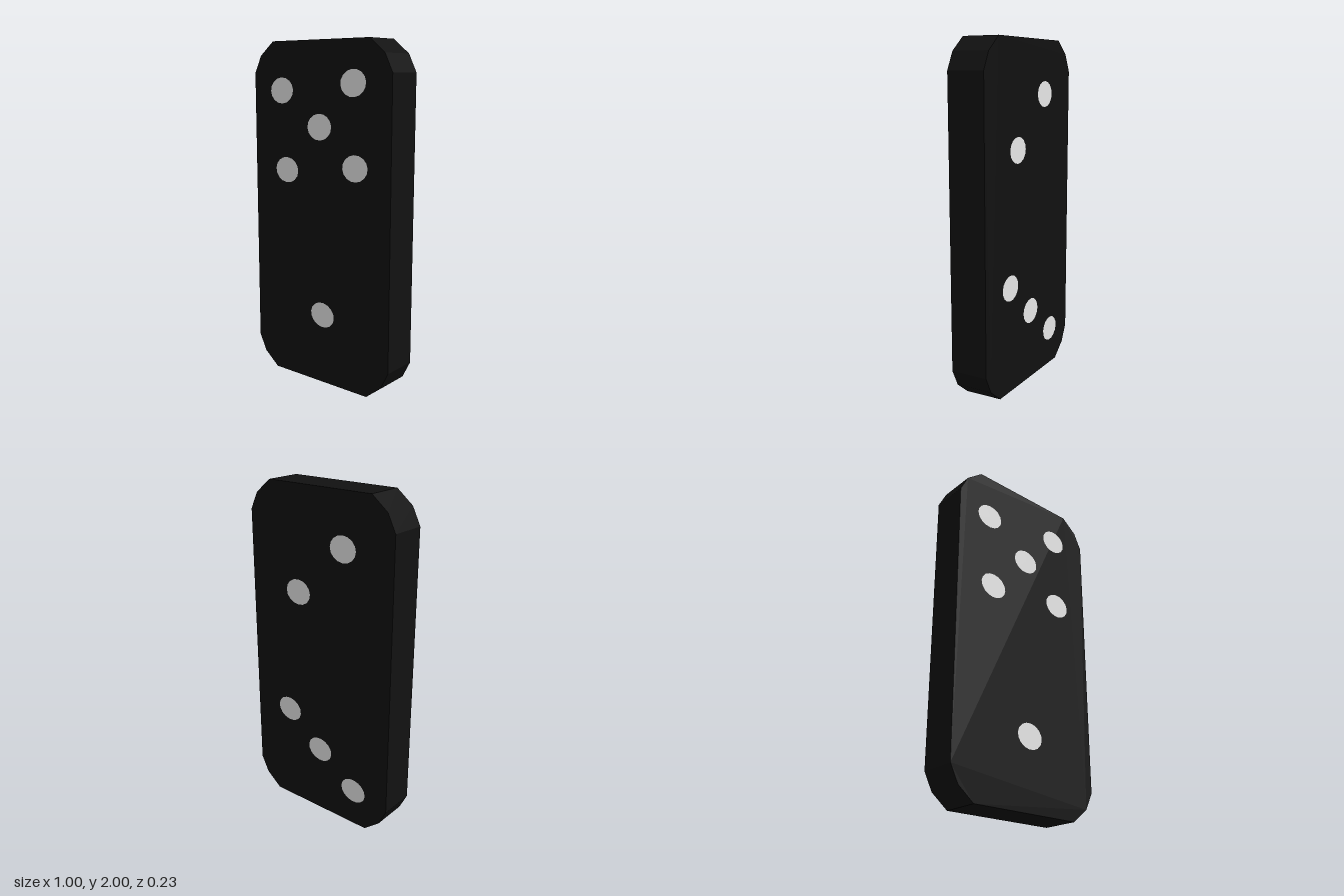
import * as THREE from 'three';

const HALF_DEPTH = 0.11;
const PIP_LIFT = 0.003;

export function createModel() {
  const black = new THREE.MeshStandardMaterial({ color: 0x111111 });
  black.name = 'black';
  const white = new THREE.MeshStandardMaterial({ color: 0xf8f8f8 });
  white.name = 'white';

  const model = new THREE.Group();
  model.name = 'domino';

  // Upright slab with two-step chamfered corners, mirrored from one quarter
  const corner = [[0.5, 0.82], [0.45, 0.92], [0.35, 1]];
  const outline = [];
  for (const [sx, sy] of [[1, 1], [-1, 1], [-1, -1], [1, -1]]) {
    const points = corner.map(([x, y]) => new THREE.Vector2(sx * x, 1 + sy * y));
    outline.push(...(sx * sy > 0 ? points : points.reverse()));
  }
  const slab = new THREE.ExtrudeGeometry(new THREE.Shape(outline), {
    depth: HALF_DEPTH * 2,
    bevelEnabled: false,
  });
  slab.translate(0, 0, -HALF_DEPTH);
  const body = new THREE.Mesh(slab, black);
  body.name = 'body';
  model.add(body);

  // Slightly oval painted pips: x, y and tilt as seen when facing that side
  const pipGeometry = new THREE.CircleGeometry(1, 16);
  pipGeometry.scale(0.088, 0.075, 1);
  function addPips(name, pips) {
    const face = new THREE.Group();
    face.name = name;
    for (const [x, y, tilt] of pips) {
      const pip = new THREE.Mesh(pipGeometry, white);
      pip.name = 'pip';
      pip.position.set(x, y, HALF_DEPTH + PIP_LIFT);
      pip.rotation.z = tilt;
      face.add(pip);
    }
    model.add(face);
    return face;
  }

  // Front: five above, one below
  addPips('frontPips', [
    [-0.28, 1.72, 0.05], [0.245, 1.765, 0.12], [0.005, 1.52, 0.08],
    [-0.245, 1.26, -0.05], [0.26, 1.305, 0.1], [0.025, 0.42, -0.1],
  ]);

  // Back: two above, three below
  addPips('backPips', [
    [0.17, 1.69, 0], [-0.15, 1.39, 0],
    [-0.235, 0.62, -0.1], [0.005, 0.42, -0.1], [0.26, 0.23, -0.1],
  ]).rotation.y = Math.PI;

  return model;
}
